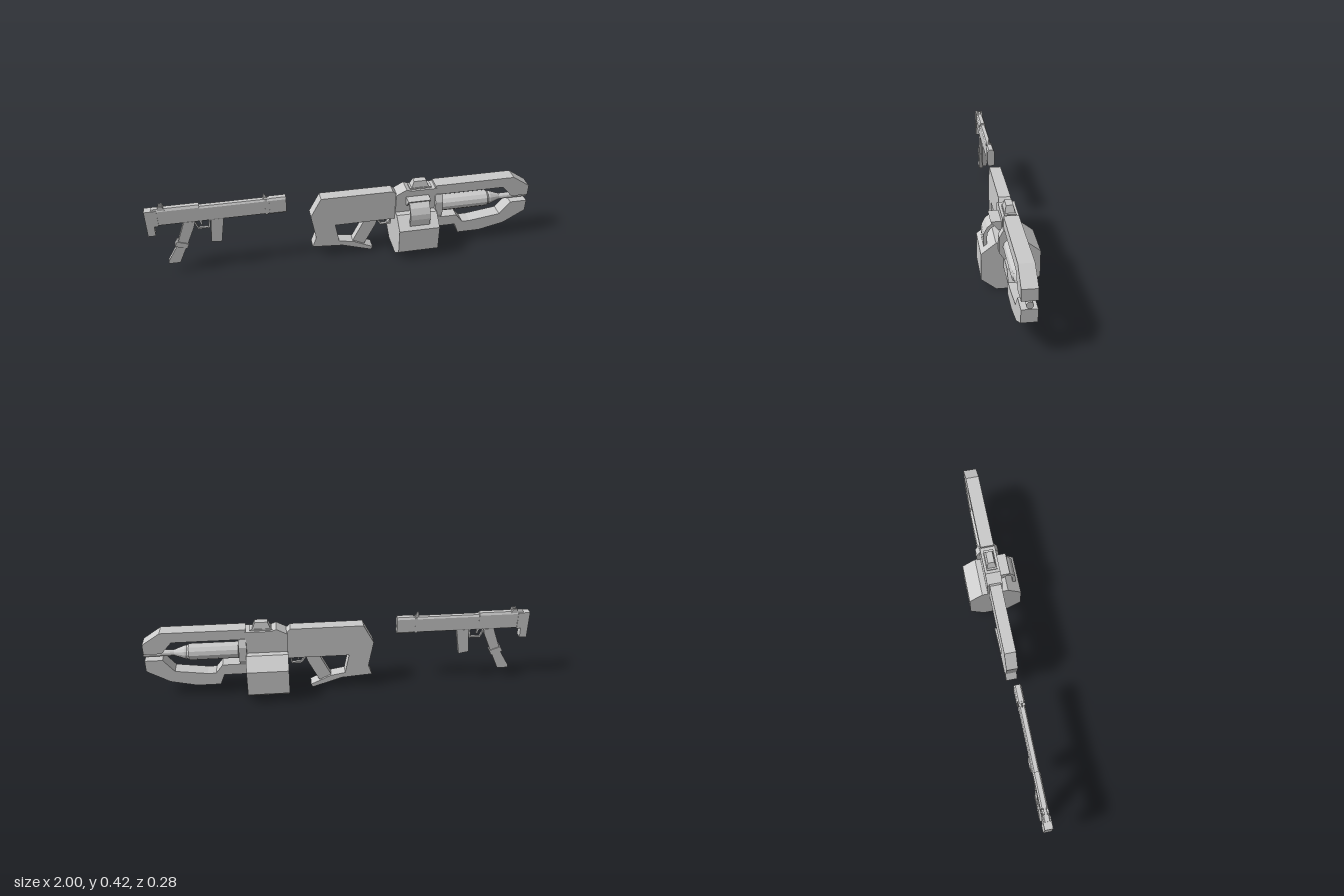
import * as THREE from 'three';

const material = new THREE.MeshStandardMaterial({ color: 0xcccccc, flatShading: true, side: THREE.DoubleSide });

function add(parent, name, geometry, x = 0, y = 0, z = 0) {
  const mesh = new THREE.Mesh(geometry, material);
  mesh.name = name;
  mesh.position.set(x, y, z);
  parent.add(mesh);
  return mesh;
}

const toShape = (points) => new THREE.Shape(points.map(([x, y]) => new THREE.Vector2(x, y)));

// Side outline in x/y, thickened symmetrically along z
function plate(parent, name, points, depth, hole, z = 0) {
  const shape = toShape(points);
  if (hole) shape.holes.push(toShape(hole));
  const g = new THREE.ExtrudeGeometry(shape, { depth, bevelEnabled: false });
  g.translate(0, 0, -depth / 2);
  return add(parent, name, g, 0, 0, z);
}

// Cross-section in z/y, run along x from x0 to x1
function prism(parent, name, points, x0, x1) {
  const g = new THREE.ExtrudeGeometry(toShape(points.map(([z, y]) => [-z, y])), { depth: x1 - x0, bevelEnabled: false });
  g.rotateY(Math.PI / 2);
  return add(parent, name, g, x0);
}

// Mirrors the +z half of a cross-section (listed bottom to top)
const mirrored = (half) => [...half, ...half.map(([z, y]) => [-z, y]).reverse()];

// Box by its limits
function box(parent, name, x0, x1, y0, y1, depth, z = 0) {
  return add(parent, name, new THREE.BoxGeometry(x1 - x0, y1 - y0, depth), (x0 + x1) / 2, (y0 + y1) / 2, z);
}

function buildHeavyGun() {
  const gun = new THREE.Group();
  gun.name = 'heavyGun';

  // Open stock and grip
  plate(gun, 'stock', [
    [-0.13, 0.373], [0.245, 0.372], [0.27, 0.347], [0.27, 0.2], [-0.057, 0.2], [-0.037, 0.092],
    [0.04, 0.078], [0.145, 0.028], [0.137, 0.01], [-0.02, 0.062], [-0.18, 0.075], [-0.16, 0.13], [-0.185, 0.27],
  ], 0.06);
  plate(gun, 'grip', [[0.1, 0.205], [0.17, 0.205], [0.16, 0.17], [0.1, 0.05], [0.035, 0.075]], 0.04);
  plate(gun, 'triggerGuard', [[0.155, 0.205], [0.25, 0.205], [0.245, 0.152], [0.19, 0.152]], 0.014,
    [[0.17, 0.198], [0.243, 0.198], [0.238, 0.16], [0.195, 0.16]]);
  plate(gun, 'trigger', [[0.2, 0.2], [0.215, 0.2], [0.212, 0.172], [0.206, 0.172]], 0.01);

  // Receiver, collar and carry sight
  plate(gun, 'receiver', [[0.26, 0.2], [0.26, 0.35], [0.315, 0.38], [0.34, 0.37], [0.475, 0.37], [0.475, 0.2]], 0.08);
  prism(gun, 'collar', mirrored([[0.035, 0.177], [0.06, 0.214], [0.06, 0.293], [0.04, 0.33]]), 0.47, 0.51);
  const sight = new THREE.CylinderGeometry(Math.SQRT1_2, Math.SQRT1_2 * 1.5, 1, 4, 1);
  sight.rotateY(Math.PI / 4).scale(0.065, 0.042, 0.034);
  add(gun, 'topSight', sight, 0.39, 0.391, 0);
  box(gun, 'sightBase', 0.335, 0.45, 0.36, 0.378, 0.055);

  // Octagonal drum
  prism(gun, 'drum', mirrored([[0.068, 0], [0.141, 0.057], [0.141, 0.192], [0.07, 0.247]]), 0.26, 0.475);

  // Curved feed belt and wedge-shaped cover
  prism(gun, 'feedBelt', [
    [0.05, 0.332], [0.08, 0.326], [0.105, 0.305], [0.121, 0.273], [0.124, 0.245], [0.122, 0.205],
    [0.105, 0.205], [0.107, 0.245], [0.103, 0.275], [0.09, 0.298], [0.07, 0.311], [0.05, 0.315],
  ], 0.32, 0.425);
  prism(gun, 'feedCover', [[0.035, 0.337], [0.09, 0.337], [0.056, 0.295], [0.035, 0.295]], 0.313, 0.433);

  // Split fore-end
  plate(gun, 'upperForeEnd', [
    [0.47, 0.383], [0.897, 0.383], [0.99, 0.32], [0.99, 0.264], [0.9, 0.264], [0.845, 0.327], [0.47, 0.327],
  ], 0.071);
  plate(gun, 'lowerForeEnd', [
    [0.47, 0.12], [0.595, 0.12], [0.618, 0.062], [0.74, 0.062], [0.875, 0.093], [0.99, 0.162], [0.99, 0.225],
    [0.9, 0.225], [0.845, 0.155], [0.68, 0.132], [0.637, 0.132], [0.6, 0.18], [0.47, 0.18],
  ], 0.071);

  // Barrel with stepped shroud and tapered muzzle
  const profile = [[0, 0.49], [0.036, 0.49], [0.036, 0.51], [0.043, 0.515], [0.043, 0.765], [0.036, 0.775],
    [0.036, 0.785], [0.016, 0.84], [0.016, 0.997], [0, 0.997]];
  const barrel = new THREE.LatheGeometry(profile.map(([r, x]) => new THREE.Vector2(r, x)), 12);
  barrel.rotateZ(-Math.PI / 2);
  add(gun, 'barrel', barrel, 0, 0.248, 0);
  return gun;
}

function buildCompactGun() {
  const gun = new THREE.Group();
  gun.name = 'compactGun';

  // Chamfered body, top cover and muzzle block
  prism(gun, 'body', mirrored([[0.011, 0.31], [0.016, 0.317], [0.016, 0.388], [0.01, 0.398]]), -0.96, -0.385);
  prism(gun, 'topCover', mirrored([[0.018, 0.36], [0.018, 0.395], [0.011, 0.408]]), -0.965, -0.735);
  prism(gun, 'muzzle', mirrored([[0.013, 0.308], [0.019, 0.316], [0.019, 0.39], [0.012, 0.401]]), -0.39, -0.305);
  box(gun, 'muzzleBand', -0.412, -0.4, 0.309, 0.4, 0.034);

  // Butt plate
  plate(gun, 'buttPlate', [[-1, 0.255], [-0.962, 0.255], [-0.962, 0.31], [-0.94, 0.31], [-0.94, 0.402], [-1, 0.402]], 0.04);

  // Sights
  for (const side of [-1, 1]) {
    plate(gun, 'rearSightPost', [[-0.935, 0.4], [-0.9, 0.4], [-0.91, 0.423], [-0.93, 0.423]], 0.01, null, side * 0.011);
  }
  plate(gun, 'frontSight', [[-0.42, 0.395], [-0.39, 0.395], [-0.4, 0.402], [-0.41, 0.423], [-0.417, 0.423]], 0.006);

  // Slanted grip holding the magazine
  plate(gun, 'grip', [[-0.82, 0.312], [-0.765, 0.312], [-0.772, 0.28], [-0.815, 0.18], [-0.868, 0.18]], 0.028);
  plate(gun, 'gripCollar', [[-0.882, 0.172], [-0.868, 0.2], [-0.81, 0.178], [-0.822, 0.15]], 0.036);
  plate(gun, 'magazine', [[-0.868, 0.175], [-0.822, 0.165], [-0.868, 0.062], [-0.928, 0.062], [-0.925, 0.078]], 0.024);

  // Trigger group and foregrip
  plate(gun, 'triggerGuard', [[-0.775, 0.315], [-0.685, 0.315], [-0.695, 0.257], [-0.755, 0.257]], 0.012,
    [[-0.765, 0.306], [-0.695, 0.306], [-0.703, 0.265], [-0.75, 0.265]]);
  plate(gun, 'trigger', [[-0.745, 0.31], [-0.73, 0.31], [-0.73, 0.28], [-0.737, 0.28]], 0.008);
  plate(gun, 'foregrip', [[-0.685, 0.312], [-0.622, 0.312], [-0.645, 0.166], [-0.698, 0.176]], 0.026);
  return gun;
}

export function createModel() {
  const model = new THREE.Group();
  model.name = 'gunPair';
  model.add(buildHeavyGun(), buildCompactGun());
  return model;
}
